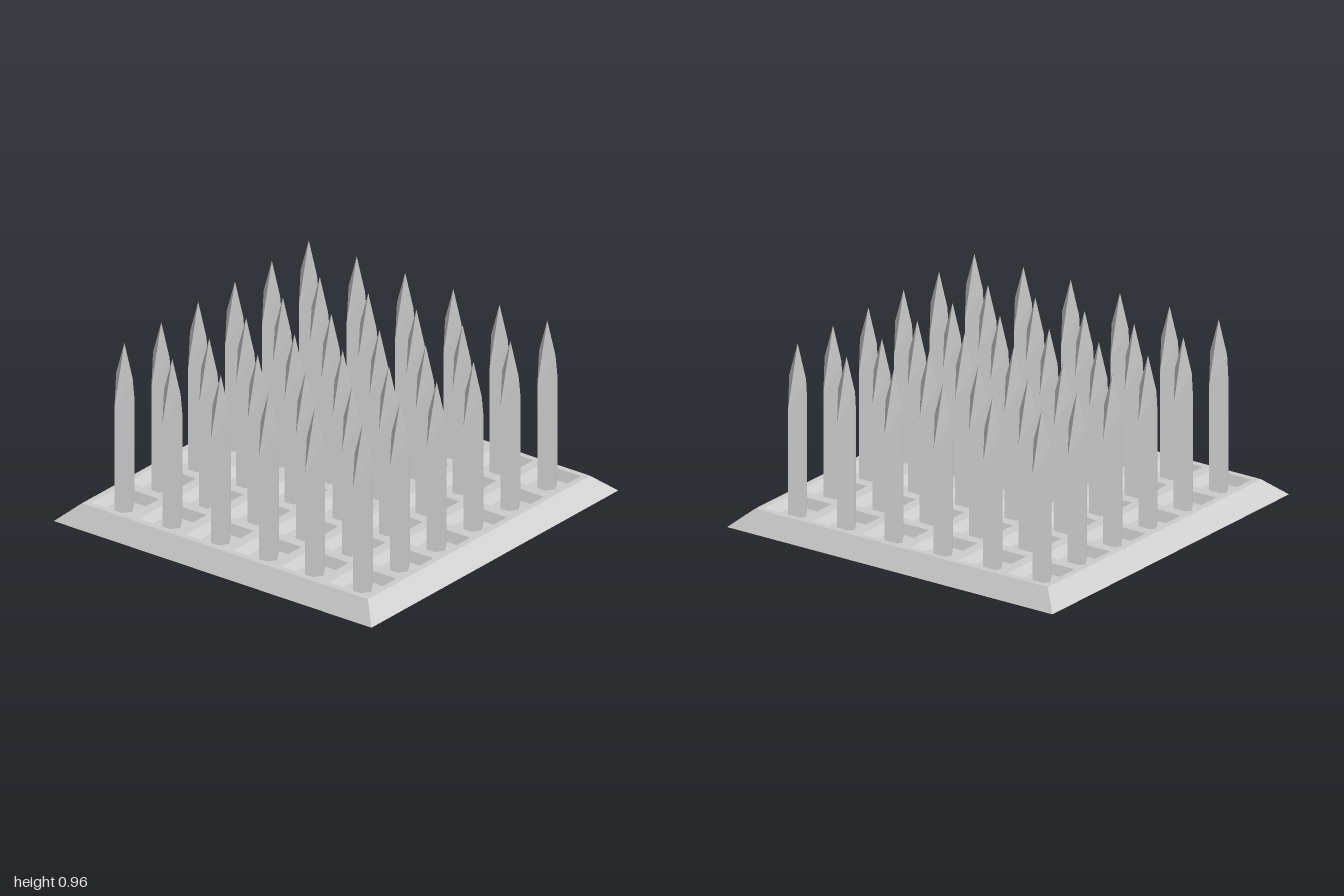
import * as THREE from 'three';

const TOP = 0.09;      // height of the plate
const FLOOR = 0.045;   // height of the pit floors
const PIT = 0.12;      // half width of a pit at the plate
const PIT_FLOOR = 0.087;
const COLUMNS = [-0.747, -0.448, -0.149, 0.149, 0.448, 0.747];
const SPIKE_ROWS = [-0.752, -0.45, -0.145, 0.158, 0.449, 0.75];

const material = new THREE.MeshStandardMaterial({
  color: 0xcccccc, flatShading: true, side: THREE.DoubleSide,
});

function addMesh(parent, name, geometry, x = 0, y = 0, z = 0) {
  const mesh = new THREE.Mesh(geometry, material);
  mesh.name = name;
  mesh.position.set(x, y, z);
  parent.add(mesh);
  return mesh;
}

// Four sloping walls of a square frustum, given half widths
function slopedWalls(top, bottom, height) {
  return new THREE.CylinderGeometry(top * Math.SQRT2, bottom * Math.SQRT2, height, 4, 1, true)
    .rotateY(Math.PI / 4);
}

// Flat plate with a square hole for every pit
function plateGeometry() {
  const square = (shape, x, y, h) => shape
    .moveTo(x - h, y - h).lineTo(x + h, y - h)
    .lineTo(x + h, y + h).lineTo(x - h, y + h).closePath();
  const shape = square(new THREE.Shape(), 0, 0, 0.9);
  for (const x of COLUMNS) {
    for (const y of COLUMNS) shape.holes.push(square(new THREE.Path(), x, y, PIT));
  }
  return new THREE.ShapeGeometry(shape).rotateX(-Math.PI / 2);
}

// Diamond-section blade: front and back ridges rise higher than the side edges
function spikeGeometry() {
  const profile = [[1, 0.008], [1, 0.63], [0, 0.96]].map(([r, y]) => new THREE.Vector2(r, y));
  const geometry = new THREE.LatheGeometry(profile, 4);
  const p = geometry.attributes.position;
  for (let i = 0; i < p.count; i++) {
    if (Math.abs(p.getZ(i)) > 0.5 && p.getY(i) > 0.5) p.setY(i, 0.78);
  }
  geometry.scale(0.081, 1, 0.052);
  geometry.computeVertexNormals();
  return geometry;
}

export function createModel() {
  const model = new THREE.Group();
  model.name = 'spikeTrap';

  // Base, open underneath
  const base = new THREE.Group();
  base.name = 'base';
  model.add(base);
  addMesh(base, 'baseRim', slopedWalls(0.9, 1, TOP), 0, TOP / 2, 0);
  addMesh(base, 'plate', plateGeometry(), 0, TOP, 0);

  // Pits and the spikes passing through their floors
  const pits = new THREE.Group();
  pits.name = 'pits';
  const spikes = new THREE.Group();
  spikes.name = 'spikes';
  model.add(pits, spikes);

  const walls = slopedWalls(PIT, PIT_FLOOR, TOP - FLOOR);
  const floor = new THREE.PlaneGeometry(2 * PIT_FLOOR, 2 * PIT_FLOOR).rotateX(-Math.PI / 2);
  const spike = spikeGeometry();
  for (const x of COLUMNS) {
    COLUMNS.forEach((z, row) => {
      addMesh(pits, 'pitWalls', walls, x, (TOP + FLOOR) / 2, z);
      addMesh(pits, 'pitFloor', floor, x, FLOOR, z);
      addMesh(spikes, 'spike', spike, x, 0, SPIKE_ROWS[row]);
    });
  }
  return model;
}
